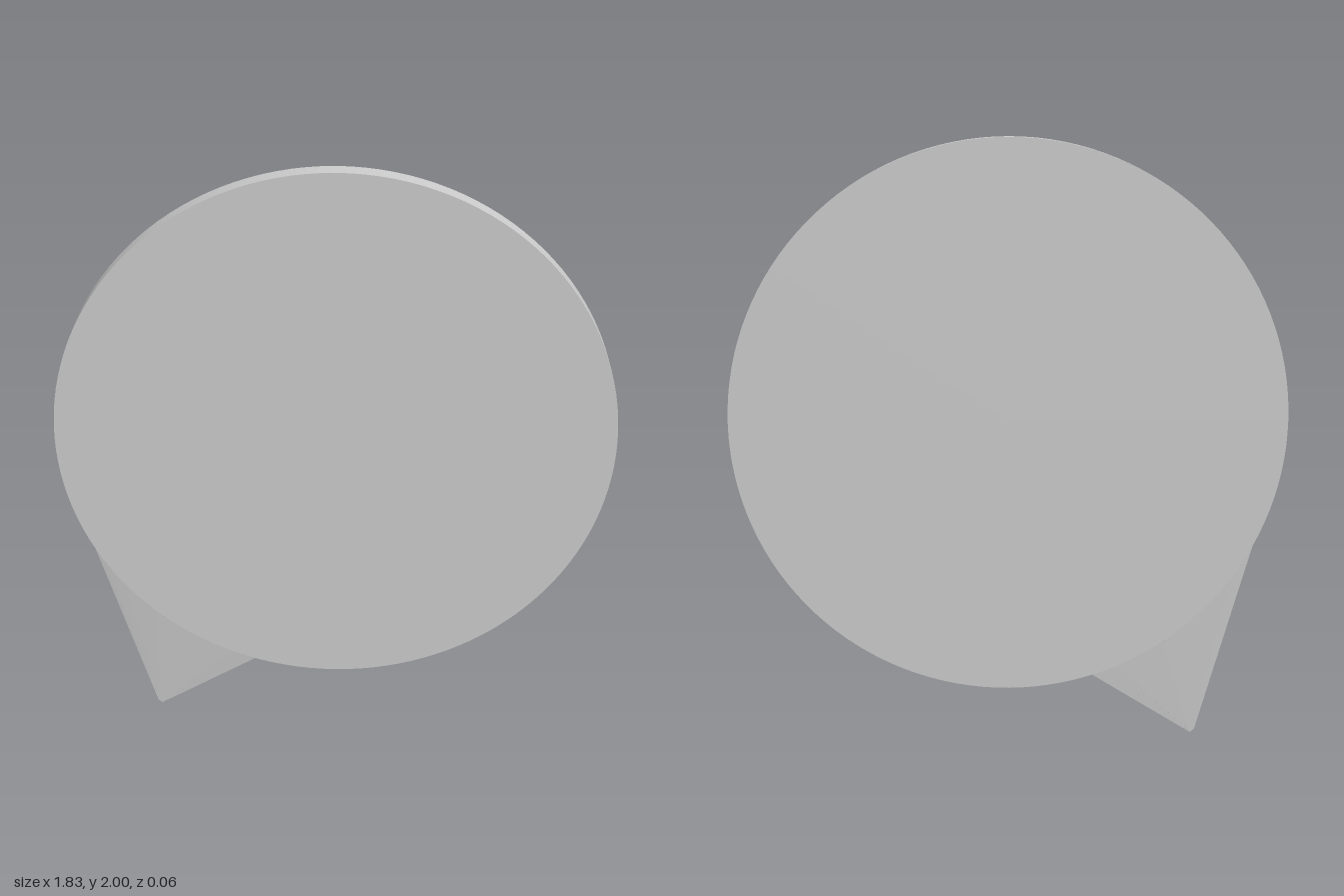
import * as THREE from 'three';

const RADIUS = 0.913, CENTRE_Y = 1.087, HALF = 0.03, TIP_HALF = 0.003;

// Pointer: surfaces ruled from an arc of the disc rim down to a thin blunt tip
function pointerGeometry(steps = 16) {
  const start = THREE.MathUtils.degToRad(207.8), end = THREE.MathUtils.degToRad(252.2);
  const pos = [], index = [];
  for (let i = 0; i <= steps; i++) {
    const t = i / steps, a = start + (end - start) * t;
    const x = RADIUS * Math.cos(a), y = CENTRE_Y + RADIUS * Math.sin(a);
    const tx = -0.63 + 0.02 * t, ty = 0.012 * Math.abs(1 - 1.4 * t) * (t < 0.714 ? 1 : 0.8);
    // rim front, tip front, rim back, tip back
    pos.push(x, y, HALF, tx, ty, TIP_HALF, x, y, -HALF, tx, ty, -TIP_HALF);
  }
  const quad = (a, b, c, d) => index.push(a, b, c, a, c, d);
  for (let i = 0; i < steps; i++) {
    const p = i * 4, q = p + 4;
    quad(p, p + 1, q + 1, q);             // front
    quad(p + 2, q + 2, q + 3, p + 3);     // back
    quad(p + 1, p + 3, q + 3, q + 1);     // tip
  }
  const e = steps * 4;
  quad(0, 2, 3, 1);                       // left wall
  quad(e, e + 1, e + 3, e + 2);           // right wall
  const geo = new THREE.BufferGeometry();
  geo.setAttribute('position', new THREE.Float32BufferAttribute(pos, 3));
  geo.setIndex(index);
  const flat = geo.toNonIndexed();
  flat.computeVertexNormals();
  return flat;
}

export function createModel() {
  const group = new THREE.Group();
  group.name = 'speechBubble';
  const material = new THREE.MeshStandardMaterial({ color: 0xcccccc });

  // Round plate standing upright
  const plate = new THREE.CylinderGeometry(RADIUS, RADIUS, HALF * 2, 128);
  plate.rotateX(Math.PI / 2).translate(0, CENTRE_Y, 0);
  const disc = new THREE.Mesh(plate, material);
  disc.name = 'disc';

  const pointer = new THREE.Mesh(pointerGeometry(), material);
  pointer.name = 'pointer';

  group.add(disc, pointer);
  return group;
}
